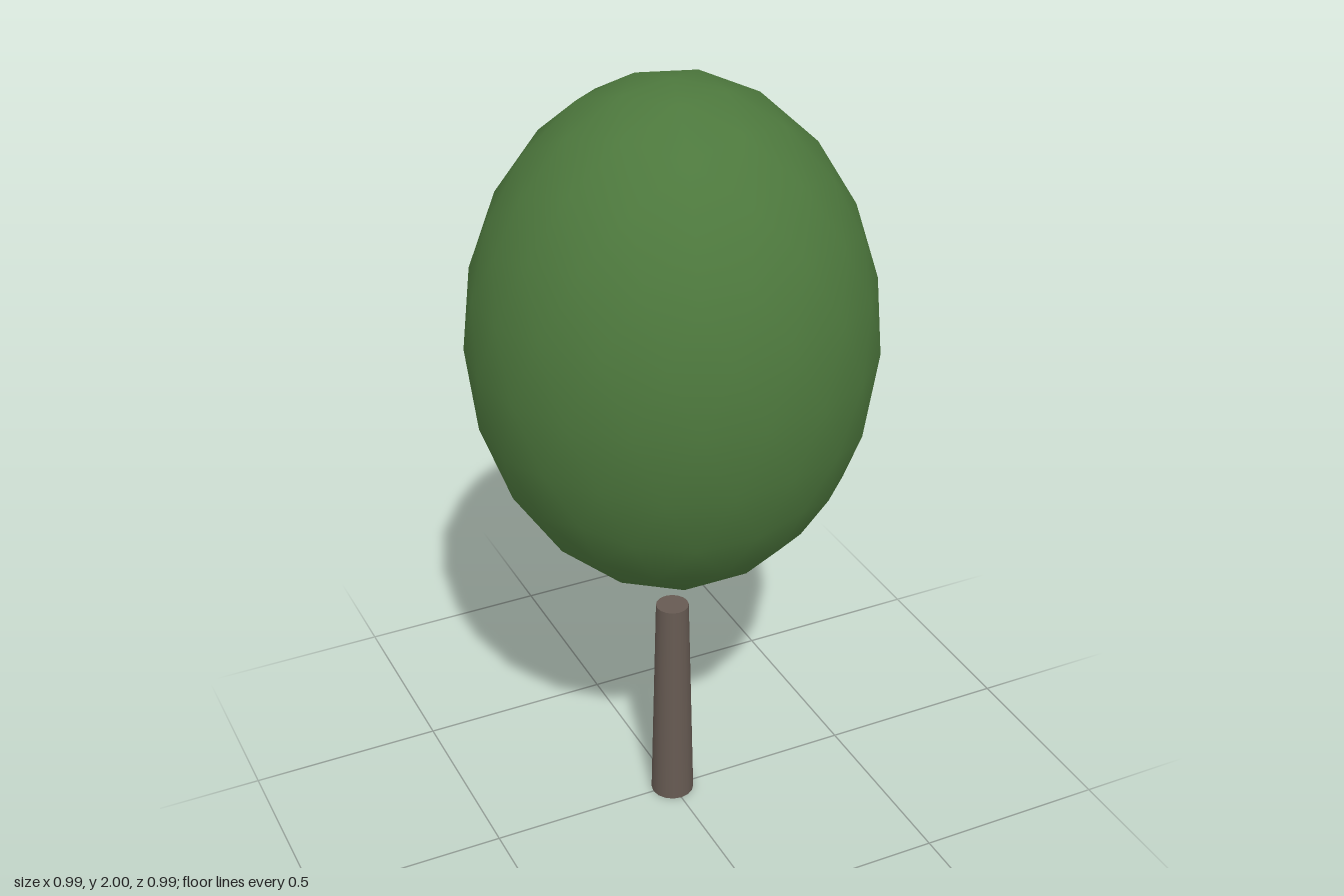
import * as THREE from 'three';

export function createModel() {
  const model = new THREE.Group();
  const leafGreen = new THREE.MeshStandardMaterial({ color: 0x4d783d });
  leafGreen.name = 'leaf green';
  const barkBrown = new THREE.MeshStandardMaterial({ color: 0x665a52 });
  barkBrown.name = 'bark brown';

  // Tapered trunk, capped at both ends
  const trunk = new THREE.Mesh(new THREE.CylinderGeometry(0.042, 0.056, 0.59, 16), barkBrown);
  trunk.name = 'trunk';
  trunk.position.y = 0.295;
  model.add(trunk);

  // Egg-shaped crown: a smooth icosphere with a vertex at each pole, stretched upward
  const crownShape = new THREE.IcosahedronGeometry(1, 3);
  crownShape.rotateZ(Math.atan(2 / (1 + Math.sqrt(5))));
  crownShape.scale(0.493, 0.643, 0.493);
  const crown = new THREE.Mesh(crownShape, leafGreen);
  crown.name = 'crown';
  crown.position.y = 1.357;
  model.add(crown);

  return model;
}
